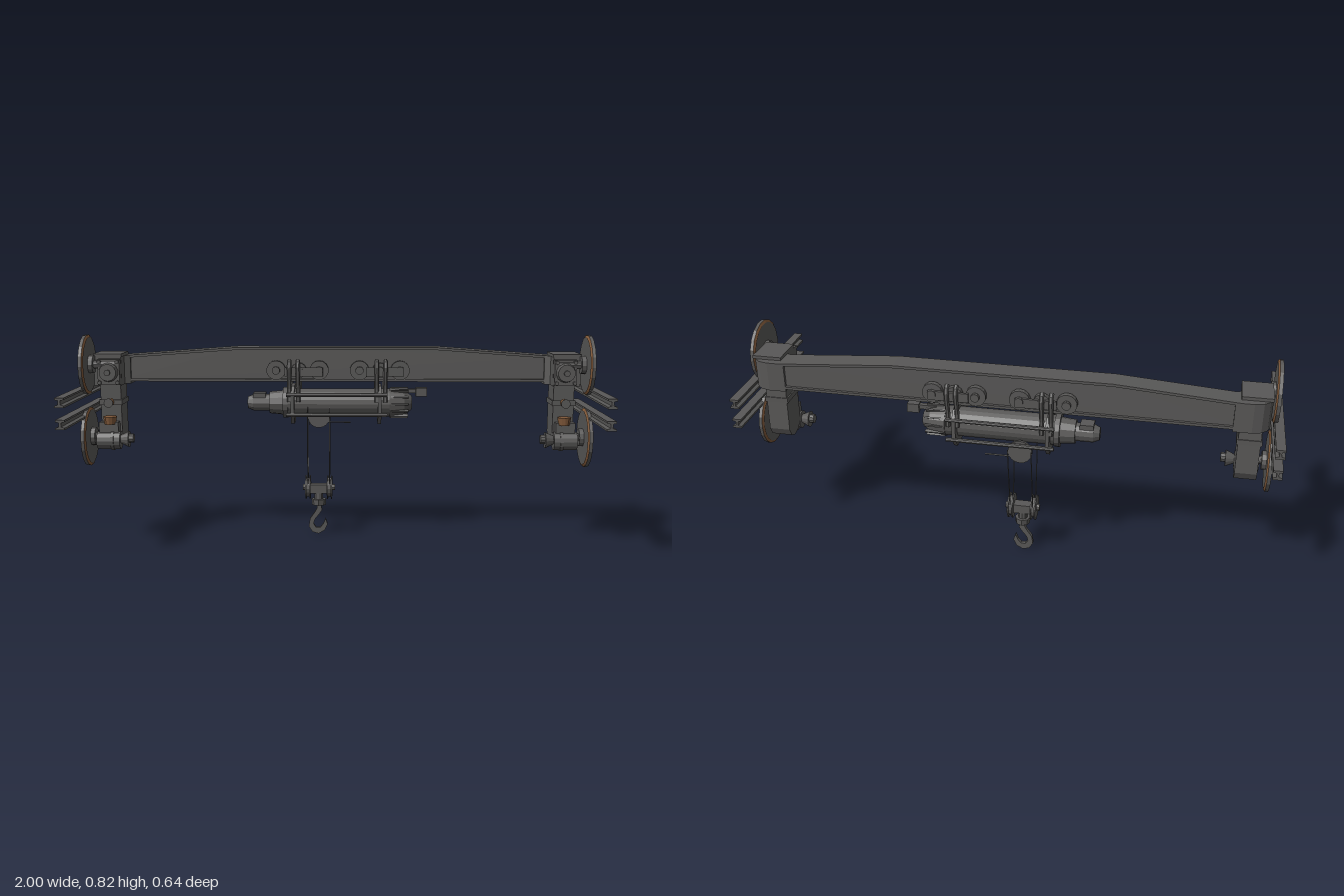
import * as THREE from 'three';

export function createModel() {
  const root = new THREE.Group();
  const steel = new THREE.MeshStandardMaterial({ color: 0x595857 });
  steel.name = 'dark steel';
  const rust = new THREE.MeshStandardMaterial({ color: 0x80593a });
  rust.name = 'rust brown';
  steel.flatShading = true;
  rust.flatShading = true;

  const add = (name, geo, x = 0, y = 0, z = 0, mat = steel) => {
    const m = new THREE.Mesh(geo, mat);
    m.name = name;
    m.position.set(x, y, z);
    root.add(m);
    return m;
  };
  const box = (name, w, h, d, x, y, z) => add(name, new THREE.BoxGeometry(w, h, d), x, y, z);
  // cylinder whose first radius lies at the positive end of the axis
  const cyl = (name, axis, r1, r2, len, x, y, z, seg = 14, mat = steel) => {
    const g = new THREE.CylinderGeometry(r1, r2, len, seg);
    if (axis === 'x') g.rotateZ(-Math.PI / 2);
    if (axis === 'z') g.rotateX(Math.PI / 2);
    return add(name, g, x, y, z, mat);
  };
  const extrude = (pts, depth) => new THREE.ExtrudeGeometry(
    new THREE.Shape(pts.map(p => new THREE.Vector2(...p))), { depth, bevelEnabled: false });
  const tube = (name, pts, r, seg = 10, sides = 6) => add(name, new THREE.TubeGeometry(
    new THREE.CatmullRomCurve3(pts.map(p => new THREE.Vector3(...p))), seg, r, sides));

  // Main beam: deep in the middle, tapering to the ends, with flanges
  const topLine = [[-0.87, 0.728], [-0.4, 0.762], [0.4, 0.762], [0.87, 0.728]];
  add('beamWeb', extrude([[-0.87, 0.632], [0.87, 0.632], ...topLine.slice().reverse()], 0.066), 0, 0, -0.208);
  add('topFlange', extrude([...topLine, ...topLine.map(([x, y]) => [x, y - 0.01]).reverse()], 0.088), 0, 0.002, -0.219);
  box('bottomFlange', 1.7, 0.01, 0.088, 0, 0.634, -0.175);

  // End carriages, one on each side
  const wheelProfile = [[0, -0.009], [0.108, -0.009], [0.115, -0.005], [0.115, 0.008], [0, 0.008]]
    .map(p => new THREE.Vector2(...p));
  for (const s of [1, -1]) {
    // curved beam end, drawn in plan and raised
    const plan = [[0.82, 0.219], [0.885, 0.219], [0.918, 0.21], [0.94, 0.19], [0.95, 0.16], [0.948, 0.06],
      [0.842, 0.06], [0.842, 0.12], [0.82, 0.131]].map(([x, z]) => [x * s, z]);
    const endGeo = extrude(plan, 0.112);
    endGeo.rotateX(-Math.PI / 2);
    add('beamEnd', endGeo, 0, 0.62, 0);
    box('endCapPlate', 0.11, 0.012, 0.13, s * 0.895, 0.738, -0.125);
    // column with rounded foot, profile in the z-y plane
    const colGeo = extrude([[0.165, 0.63], [0.17, 0.43], [0.155, 0.4], [0.125, 0.387], [0.085, 0.395],
      [0.06, 0.43], [0.055, 0.63]], 0.08);
    colGeo.rotateY(Math.PI / 2);
    add('column', colGeo, s * 0.885 - 0.04, 0, 0);
    box('columnCollar', 0.09, 0.02, 0.12, s * 0.885, 0.555, -0.11);

    for (const y of [0.705, 0.422]) {
      const g = new THREE.LatheGeometry(wheelProfile, 18);
      g.rotateZ(-s * Math.PI / 2);
      add('wheel', g, s * 0.969, y, -0.042);
      const rim = new THREE.CylinderGeometry(0.1155, 0.106, 0.006, 18, 1, true);
      rim.rotateZ(-s * Math.PI / 2);
      add('wheelRim', rim, s * 0.961, y, -0.042, rust);
      cyl('wheelHub', 'x', 0.035, 0.035, 0.02, s * 0.953, y, -0.042, 12);
      cyl('axle', 'x', 0.016, 0.016, 0.1, s * 0.91, y, -0.042, 10);
    }

    // upper bearing housing and its flanged cover
    box('bearingHousing', 0.085, 0.1, 0.05, s * 0.885, 0.675, -0.055);
    cyl('bearingCover', 'z', 0.033, 0.038, 0.022, s * 0.885, 0.675, -0.02);
    cyl('bearingBolt', 'z', 0.012, 0.012, 0.012, s * 0.885, 0.675, -0.006, 8);
    for (const dx of [-0.035, 0.035]) for (const dy of [-0.04, 0.04])
      cyl('housingBolt', 'z', 0.008, 0.008, 0.012, s * 0.885 + dx, 0.675 + dy, -0.026, 6);
    // lower travel drive
    box('gearbox', 0.075, 0.1, 0.055, s * 0.89, 0.43, -0.05);
    cyl('driveMotor', 'x', 0.035, 0.035, 0.09, s * 0.89, 0.408, -0.035);
    cyl('driveMotorRib', 'x', 0.039, 0.039, 0.012, s * 0.875, 0.408, -0.035);
    cyl('driveMotorTip', 'x', s > 0 ? 0.016 : 0.032, s > 0 ? 0.032 : 0.016, 0.035, s * 0.83, 0.412, -0.035);
    cyl('driveShaftCap', 'x', 0.018, 0.018, 0.02, s * 0.805, 0.415, -0.035, 10);
    cyl('driveNeck', 'y', 0.027, 0.022, 0.03, s * 0.885, 0.487, -0.03, 12, rust);
    cyl('bufferArm', 'z', 0.012, 0.012, 0.06, s * 0.885, 0.557, -0.075, 8);
    cyl('buffer', 'z', 0.018, 0.014, 0.036, s * 0.885, 0.557, -0.031, 12, rust);
    cyl('bufferFace', 'z', 0.018, 0.018, 0.004, s * 0.885, 0.557, -0.011, 12);

    // pair of track rails with an I section
    const railShape = [[-0.017, 0], [0.017, 0], [0.017, 0.007], [0.004, 0.011], [0.004, 0.026], [0.017, 0.029],
      [0.017, 0.036], [-0.017, 0.036], [-0.017, 0.029], [-0.004, 0.026], [-0.004, 0.011], [-0.017, 0.007]];
    for (const y of [0.503, 0.583]) add('rail', extrude(railShape, 0.64), s * 0.983, y, -0.32);
  }

  // Trolleys gripping the lower part of the beam
  const cz = -0.173;
  for (const [cx, wheels] of [[-0.175, [-0.24, -0.15, -0.07]], [0.17, [0.09, 0.17, 0.25]]]) {
    for (const s of [1, -1]) {
      wheels.forEach((x, i) => {
        const r = i === 1 ? 0.03 : 0.038;
        cyl('trolleyWheel', 'z', r, r, 0.02, x, 0.675, cz + s * 0.05, 14);
        cyl('trolleyWheelHub', 'z', 0.016, 0.016, 0.02, x, 0.675, cz + s * 0.064, 10);
      });
      box('trolleyPlate', 0.15, 0.035, 0.01, (wheels[1] + wheels[2]) / 2 - 0.02, 0.67, cz + s * 0.065);
      for (const dx of [-0.012, 0.022]) tube('hangerArm', [[cx + dx, 0.715, cz + s * 0.062],
        [cx + dx, 0.7, cz + s * 0.08], [cx + dx, 0.65, cz + s * 0.076],
        [cx + dx, 0.6, cz + s * 0.064], [cx + dx, 0.55, cz + s * 0.07]], 0.009);
    }
    // frame plate around the drum
    const plate = extrude([[-0.08, 0.5], [-0.045, 0.46], [0.045, 0.46], [0.08, 0.5], [0.08, 0.58],
      [0.05, 0.612], [-0.05, 0.612], [-0.08, 0.58]], 0.014);
    plate.rotateY(Math.PI / 2);
    add('framePlate', plate, cx - 0.007, 0, cz);
  }
  for (const s of [1, -1]) {
    cyl('frameRod', 'x', 0.008, 0.008, 0.4, 0, 0.58, cz + s * 0.077, 8);
    cyl('frameRod', 'x', 0.008, 0.008, 0.4, 0, 0.5, cz + s * 0.077, 8);
  }

  // Hoist drum, gearbox and motors
  cyl('drum', 'x', 0.056, 0.056, 0.42, 0.0, 0.54, cz, 20);
  cyl('drumCollar', 'x', 0.062, 0.062, 0.02, -0.205, 0.54, cz, 16);
  cyl('hoistGearbox', 'x', 0.05, 0.044, 0.06, -0.24, 0.54, cz, 12);
  cyl('hoistMotor', 'x', 0.034, 0.034, 0.07, -0.3, 0.54, cz, 12);
  cyl('hoistMotorEnd', 'x', 0.034, 0.024, 0.025, -0.345, 0.54, cz, 12);
  box('terminalBox', 0.05, 0.025, 0.05, -0.31, 0.568, cz);
  cyl('endMotor', 'x', 0.052, 0.06, 0.06, 0.24, 0.54, cz, 16);
  cyl('endMotorDome', 'x', 0.028, 0.052, 0.03, 0.285, 0.54, cz, 16);
  for (let i = 0; i < 12; i++) {
    const a = i * Math.PI / 6;
    const fin = box('coolingFin', 0.07, 0.012, 0.006, 0.25, 0.54 + Math.sin(a) * 0.056, cz + Math.cos(a) * 0.056);
    fin.rotation.x = Math.PI / 2 - a;
  }
  box('cableArm', 0.08, 0.016, 0.02, 0.29, 0.588, cz);
  box('cableBox', 0.045, 0.034, 0.035, 0.338, 0.584, cz);

  // Guide pulley under the drum
  cyl('guidePulley', 'z', 0.045, 0.045, 0.01, -0.075, 0.472, -0.24, 18);
  cyl('guideRod', 'x', 0.003, 0.003, 0.13, -0.01, 0.45, -0.24, 6);

  // Ropes, sheaves and hook
  for (const x of [-0.117, -0.03]) {
    tube('ropeFront', [[x, 0.53, -0.115], [x, 0.34, -0.12], [x, 0.2, -0.137]], 0.002, 4, 5);
    tube('ropeBack', [[x, 0.48, -0.25], [x, 0.34, -0.225], [x, 0.2, -0.197]], 0.002, 4, 5);
    for (const d of [-0.008, 0.008]) cyl('sheaveFlange', 'x', 0.048, 0.048, 0.005, x + d, 0.193, -0.167, 18);
    cyl('sheaveCore', 'x', 0.038, 0.038, 0.014, x, 0.193, -0.167, 14);
  }
  cyl('sheaveAxle', 'x', 0.013, 0.013, 0.13, -0.0735, 0.193, -0.167, 10);
  box('hookBlock', 0.07, 0.035, 0.04, -0.0735, 0.188, -0.167);
  cyl('hookSwivel', 'y', 0.018, 0.018, 0.05, -0.0735, 0.153, -0.167, 10);
  cyl('hookNut', 'y', 0.03, 0.028, 0.024, -0.0735, 0.133, -0.167, 8);
  // hook in the x-y plane with a tapered outline
  const hook = extrude([[-0.066, 0.125], [-0.06, 0.1], [-0.072, 0.082], [-0.09, 0.06], [-0.095, 0.04],
    [-0.085, 0.026], [-0.068, 0.026], [-0.056, 0.04], [-0.046, 0.064], [-0.038, 0.04], [-0.05, 0.014],
    [-0.075, 0], [-0.1, 0.007], [-0.115, 0.03], [-0.11, 0.062], [-0.09, 0.09], [-0.082, 0.105], [-0.082, 0.125]], 0.016);
  add('hook', hook, 0, 0, -0.175);
  return root;
}
